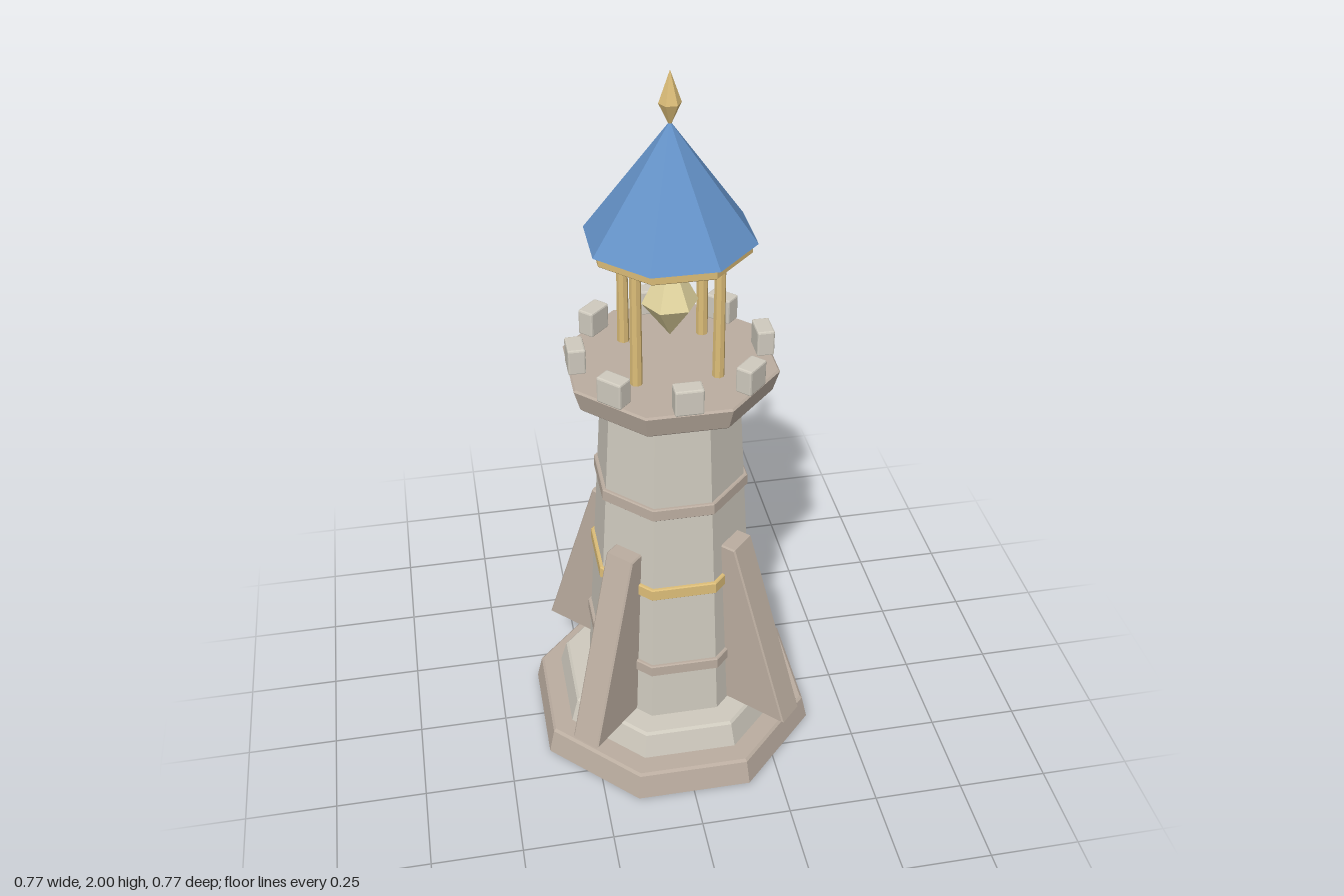
import * as THREE from 'three';
import { RoundedBoxGeometry } from 'three/addons/geometries/RoundedBoxGeometry.js';

const paint = (color) => new THREE.MeshStandardMaterial({ color, flatShading: true });

export function createModel() {
  const model = new THREE.Group();
  const paleStone = paint(0xcfcabe);
  const warmStone = paint(0xbbada0);
  const gold = paint(0xdcbd78);
  const blue = paint(0x6492c8);
  const glow = paint(0xe3d6a0);

  const add = (name, geometry, material, parent = model) => {
    const mesh = new THREE.Mesh(geometry, material);
    mesh.name = name;
    parent.add(mesh);
    return mesh;
  };

  // Eight-sided solid with flats on the axes; profile gives [half width, height] upwards
  const octagon = (name, profile, material) => {
    const points = profile.map(([w, y]) => new THREE.Vector2(w / Math.cos(Math.PI / 8), y));
    return add(name, new THREE.LatheGeometry(points, 8, Math.PI / 8), material);
  };
  // Tapered slab with small chamfers and closed ends
  const slab = (name, y0, y1, w0, w1, bevel, material) => octagon(name, [
    [0, y0], [w0 - bevel, y0], [w0, y0 + bevel], [w1, y1 - bevel], [w1 - bevel, y1], [0, y1],
  ], material);
  // Six-sided gem
  const gem = (name, y0, yMid, y1, r, material) => add(name, new THREE.LatheGeometry(
    [[0, y0], [r, yMid], [0, y1]].map(([x, y]) => new THREE.Vector2(x, y)), 6, Math.PI / 2), material);

  // Stepped base
  slab('base', 0, 0.085, 0.385, 0.37, 0.007, warmStone);
  slab('plinth', 0.083, 0.165, 0.313, 0.295, 0.007, paleStone);

  // Tapering shaft and its bands
  const shaftWidth = (y) => 0.228 - (y - 0.165) * 0.057;
  octagon('shaft', [[0, 0.16], [shaftWidth(0.16), 0.16], [shaftWidth(1.17), 1.17], [0, 1.17]], paleStone);
  const band = (name, y, material) =>
    slab(name, y - 0.018, y + 0.018, shaftWidth(y) + 0.009, shaftWidth(y) + 0.008, 0.003, material);
  band('lowerBand', 0.335, warmStone);
  band('goldBand', 0.602, gold);
  band('upperBand', 0.863, warmStone);

  // Sloping buttresses on the diagonals
  const bevel = 0.004;
  const outline = new THREE.Shape([
    [0.14, 0.165 + bevel], [0.417 - bevel, 0.165 + bevel], [0.24 - bevel, 0.715 - bevel], [0.14, 0.715 - bevel],
  ].map(([r, y]) => new THREE.Vector2(r, y)));
  const buttress = new THREE.ExtrudeGeometry(outline, {
    depth: 0.085 - 2 * bevel, bevelSize: bevel, bevelThickness: bevel, bevelSegments: 1,
  });
  buttress.translate(0, 0, -0.0425 + bevel);
  for (let i = 0; i < 4; i++) {
    add('buttress', buttress, warmStone).rotation.y = Math.PI / 4 + i * Math.PI / 2;
  }

  // Gallery with eight merlons
  slab('gallery', 1.155, 1.223, 0.249, 0.265, 0.005, warmStone);
  const merlon = new RoundedBoxGeometry(0.046, 0.072, 0.074, 1, 0.005);
  merlon.translate(0.245, 1.256, 0);
  for (let i = 0; i < 8; i++) {
    add('merlon', merlon, paleStone).rotation.y = i * Math.PI / 4;
  }

  // Lantern posts and hanging light
  const post = new THREE.CylinderGeometry(0.014, 0.016, 0.34, 8);
  for (const x of [-0.105, 0.105]) {
    for (const z of [-0.105, 0.105]) add('lanternPost', post, gold).position.set(x, 1.388, z);
  }
  gem('lanternLight', 1.292, 1.39, 1.537, 0.073, glow);

  // Roof with gold eave and finial
  slab('eave', 1.548, 1.578, 0.19, 0.19, 0.003, gold);
  octagon('roof', [[0, 1.576], [0.203, 1.576], [0, 1.875]], blue);
  gem('finial', 1.86, 1.92, 2, 0.028, gold);

  return model;
}
